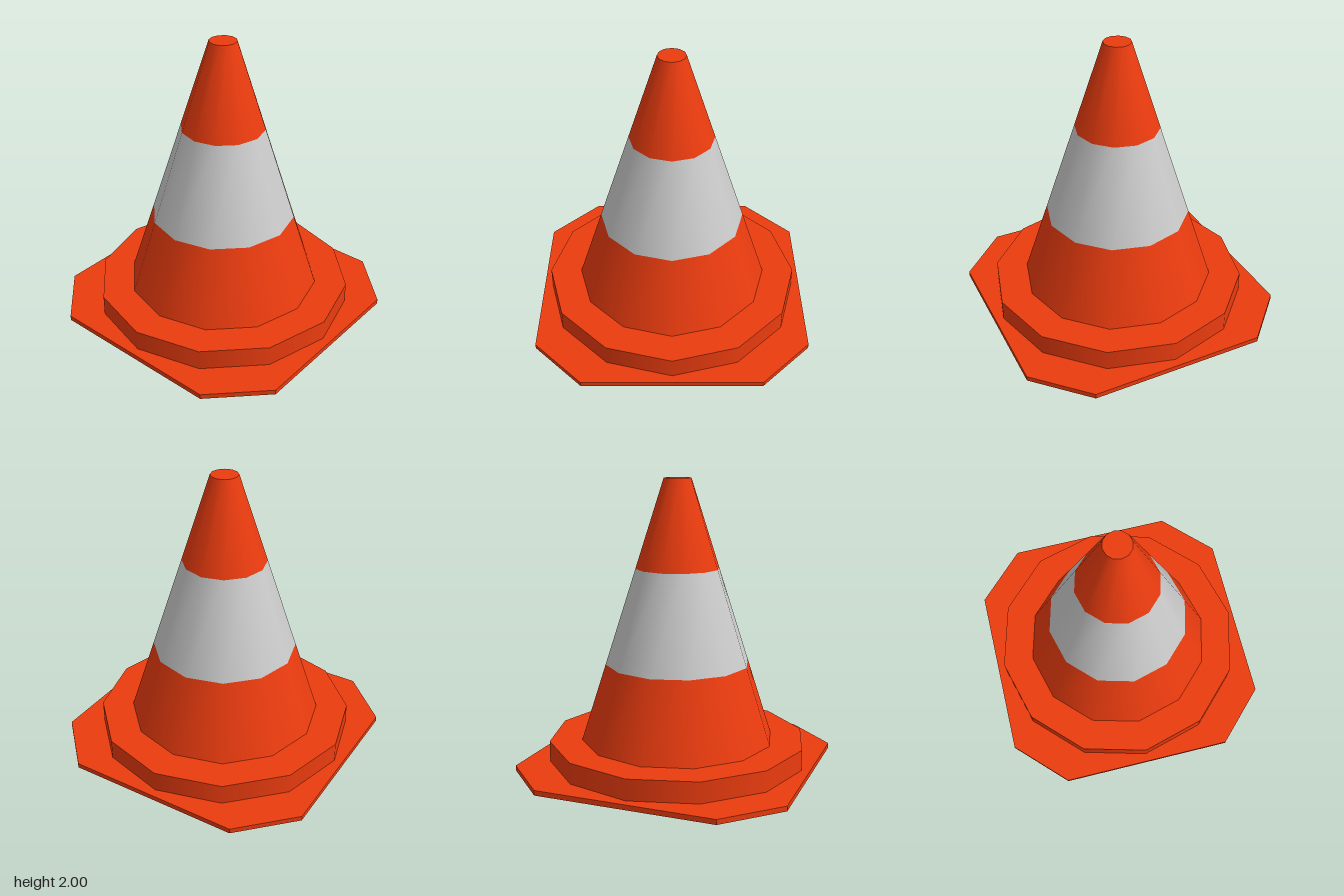
import * as THREE from 'three';

const SIDES = 12;

export function createModel() {
  const group = new THREE.Group();
  const orange = new THREE.MeshStandardMaterial({ color: 0xec3c0f });
  const grey = new THREE.MeshStandardMaterial({ color: 0xcccccc });

  const add = (name, geometry, material) => {
    const mesh = new THREE.Mesh(geometry, material);
    mesh.name = name;
    group.add(mesh);
    return mesh;
  };

  // Twelve-sided tapered section between two heights
  const section = (name, y0, y1, r0, r1, material, open) => {
    const geometry = new THREE.CylinderGeometry(r1, r0, y1 - y0, SIDES, 1, open);
    add(name, geometry, material).position.y = (y0 + y1) / 2;
  };

  // Square base plate with clipped corners
  const a = 0.965, b = 0.62;
  const outline = new THREE.Shape(
    [[a, -b], [a, b], [b, a], [-b, a], [-a, b], [-a, -b], [-b, -a], [b, -a]]
      .map(([x, y]) => new THREE.Vector2(x, y))
  );
  const plate = new THREE.ExtrudeGeometry(outline, { depth: 0.035, bevelEnabled: false });
  plate.rotateX(-Math.PI / 2);
  add('basePlate', plate, orange);

  // Raised collar on the plate
  section('baseCollar', 0.035, 0.18, 0.907, 0.907, orange, false);

  // Cone body: lower part, pale band and capped tip share one slope
  const radiusAt = (y) => THREE.MathUtils.mapLinear(y, 0.18, 2, 0.68, 0.095);
  const cone = (name, y0, y1, material, open) =>
    section(name, y0, y1, radiusAt(y0), radiusAt(y1), material, open);
  cone('lowerCone', 0.18, 0.72, orange, true);
  cone('reflectiveBand', 0.72, 1.385, grey, true);
  cone('coneTip', 1.385, 2, orange, false);

  return group;
}
